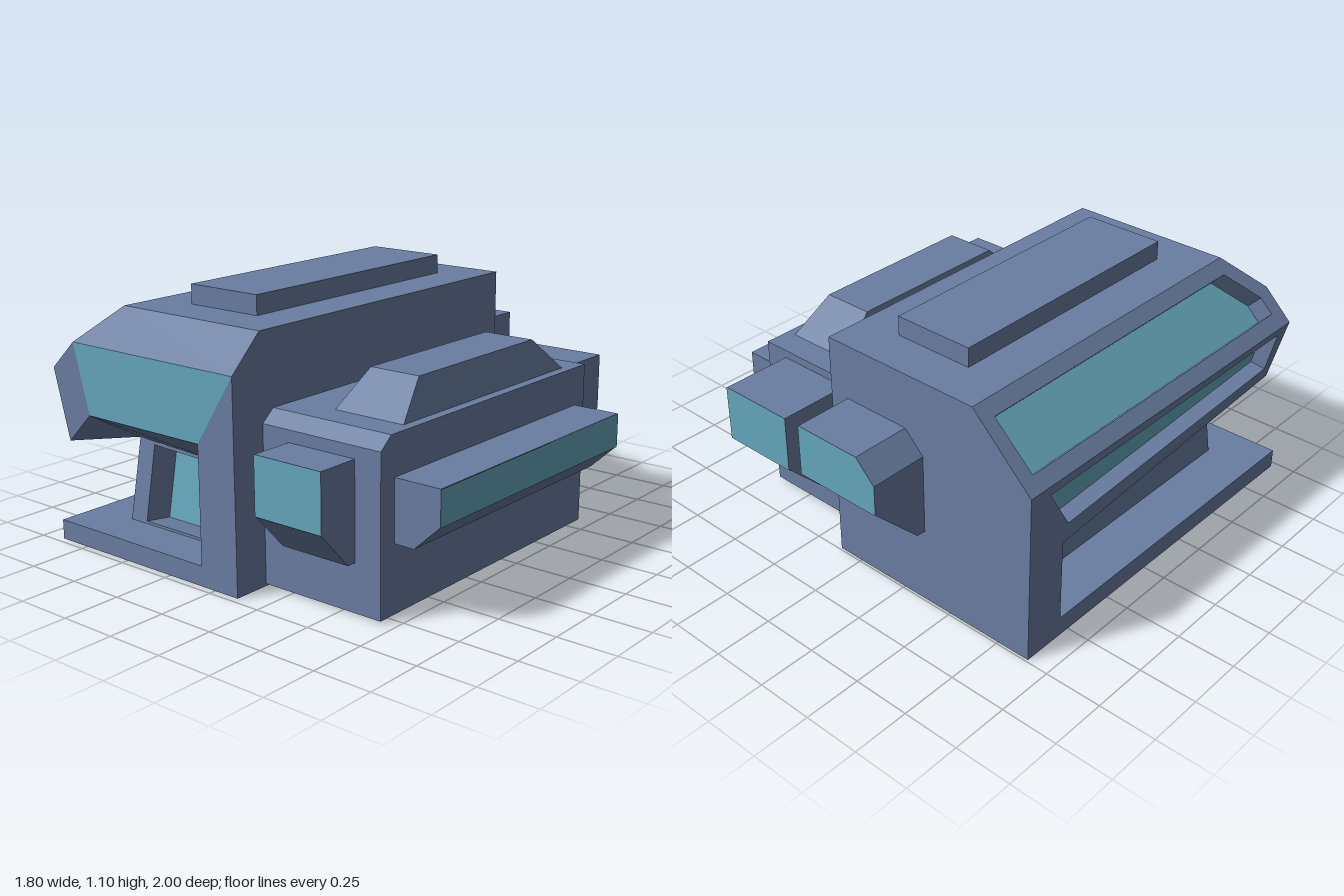
import * as THREE from 'three';
import { mergeGeometries } from 'three/addons/utils/BufferGeometryUtils.js';
import { ConvexGeometry } from 'three/addons/geometries/ConvexGeometry.js';

const V = (x, y, z) => new THREE.Vector3(x, y, z);

// Normal of a loop that runs counter-clockwise seen from outside
function loopNormal(loop) {
  const n = V(0, 0, 0);
  loop.forEach((p, i) => n.add(p.clone().cross(loop[(i + 1) % loop.length])));
  return n.normalize();
}

// Flat-shaded polygon with optional holes
function poly(loop, holes = []) {
  const n = loopNormal(loop);
  const u = Math.abs(n.y) > 0.8 ? V(0, 0, 1) : V(0, 1, 0);
  u.cross(n).normalize();
  const v = n.clone().cross(u);
  const flat = (l) => l.map((p) => new THREE.Vector2(p.dot(u), p.dot(v)));
  const all = [loop, ...holes].flat();
  const corners = [];
  for (const [a, b, c] of THREE.ShapeUtils.triangulateShape(flat(loop), holes.map(flat))) {
    const [A, B, C] = [all[a], all[b], all[c]];
    const turn = B.clone().sub(A).cross(C.clone().sub(A)).dot(n);
    corners.push(...(turn < 0 ? [A, C, B] : [A, B, C]));
  }
  const g = new THREE.BufferGeometry().setFromPoints(corners);
  g.computeVertexNormals();
  return g;
}

// Panel with a sunken window; the opening is given as fractions (along, down)
function windowPanel([tl, bl, br, tr], opening, depth) {
  const loop = opening.map(([s, t]) => tl.clone().lerp(tr, s).lerp(bl.clone().lerp(br, s), t));
  const n = loopNormal(loop);
  const floor = loop.map((p) => p.clone().addScaledVector(n, -depth));
  const walls = loop.map((p, i) => {
    const j = (i + 1) % loop.length;
    return poly([p, loop[j], floor[j], floor[i]]);
  });
  return { frame: [poly([tl, bl, br, tr], [loop]), ...walls], pane: poly(floor) };
}

const rectOpening = (s0, s1, t0, t1) => [[s0, t0], [s0, t1], [s1, t1], [s1, t0]];

export function createModel() {
  const group = new THREE.Group();
  const wall = new THREE.MeshStandardMaterial({ name: 'slate blue wall', color: 0x6a7ea2 });
  const glass = new THREE.MeshStandardMaterial({ name: 'teal glass', color: 0x66a8bd });
  const add = (name, geometry, material = wall, parent = group) => {
    const m = new THREE.Mesh(geometry, material);
    m.name = name;
    parent.add(m);
    return m;
  };

  // Main hall: each row runs from the back of the left side, round the front corner, to the right
  const roof = [V(-0.62, 1.02, -0.74), V(-0.62, 1.02, 0.82), V(0.12, 1.02, 0.82)];
  const eave = [V(-0.9, 0.75, -0.74), V(-0.9, 0.75, 0.97), V(-0.77, 0.875, 0.97), V(0.12, 0.875, 0.97)];
  const lip = [V(-0.9, 0.45, -0.55), V(-0.82, 0.45, 0.97), V(-0.69, 0.58, 0.97), V(-0.07, 0.58, 0.97)];
  const wallTop = [V(-0.66, 0.44, -0.5), V(-0.66, 0.44, 0.73), V(-0.16, 0.42, 0.73)];
  const wallBase = [V(-0.68, 0.085, -0.5), V(-0.68, 0.085, 0.78), V(-0.16, 0.085, 0.78)];
  const slab = [V(-0.9, 0.085, -0.55), V(-0.9, 0.085, 0.97), V(-0.07, 0.085, 0.97)];
  const ground = [V(-0.9, 0, -0.74), V(-0.9, 0, 0.97), V(0.12, 0, 0.97)];
  // a row with a single corner point uses it for both sides
  const rows = [roof, eave, lip, wallTop, wallBase, slab, ground]
    .map((r) => (r.length === 3 ? [r[0], r[1], r[1], r[2]] : r));
  const panel = (r, s) => [rows[r][s], rows[r + 1][s], rows[r + 1][s + 1], rows[r][s + 1]];

  // Sunken windows: left roof slope, under the left eave, and in the porch
  const windows = {
    roofWindow: [0, 0, [[0.04, 0.18], [0.04, 0.82], [0.974, 0.82], [0.993, 0.607], [0.958, 0.18]], 0.085],
    eaveWindow: [1, 0, rectOpening(0.05, 0.96, 0.13, 0.76), 0.07],
    porchWindow: [3, 2, rectOpening(0.175, 0.97, 0.04, 0.97), 0.13],
  };
  const shell = [];
  const special = new Set(['1,2']);
  for (const [name, [r, s, opening, depth]] of Object.entries(windows)) {
    const { frame, pane } = windowPanel(panel(r, s), opening, depth);
    shell.push(...frame);
    add(name, pane, glass);
    special.add(`${r},${s}`);
  }
  add('frontWindow', poly(panel(1, 2)), glass);

  // Plain panels between neighbouring rows
  for (let r = 0; r < rows.length - 1; r++) {
    for (let s = 0; s < 3; s++) {
      const loop = [...new Set(panel(r, s))];
      if (loop.length > 2 && !special.has(`${r},${s}`)) shell.push(poly(loop));
    }
  }
  // Pillar face and porch jamb at both ends
  for (const s of [0, 3]) {
    for (const ids of [[1, 2, 5, 6], [2, 3, 4, 5]]) {
      const loop = ids.map((r) => rows[r][s]);
      shell.push(poly(s === 0 ? loop.reverse() : loop));
    }
  }
  // Roof, right side, back and underside
  const backTop = V(0.12, 1.02, -0.74), backBase = V(0.12, 0, -0.74);
  shell.push(
    poly([...roof, backTop]),
    poly([ground[2], backBase, backTop, roof[2], eave[3]]),
    poly([backBase, ground[0], eave[0], roof[0], backTop]),
    poly([ground[0], backBase, ground[2], ground[1]]),
  );
  add('mainHall', mergeGeometries(shell));

  const platform = add('roofPlatform', new THREE.BoxGeometry(0.36, 0.09, 1.18));
  platform.position.set(-0.25, 1.058, 0.04);

  // Side wing with a small bevel along its front roof edge
  const wingSide = [[0.01, -0.58], [0.01, 0.81], [0.66, 0.81], [0.71, 0.75], [0.71, -0.58]];
  add('sideWing', new ConvexGeometry([0.11, 0.69].flatMap((x) => wingSide.map(([y, z]) => V(x, y, z)))));

  // Tapered roof lantern on the wing
  const lanternEnds = [[0.32, 0.65, 0.705, -0.47, 0.63], [0.37, 0.6, 0.855, -0.3, 0.47]];
  add('roofLantern', new ConvexGeometry(lanternEnds.flatMap(([x0, x1, y, z0, z1]) =>
    [V(x0, y, z0), V(x1, y, z0), V(x1, y, z1), V(x0, y, z1)])));

  // Bay window built facing +z, then turned: glazed face, sloped underside, optional cut top corner
  function bay(name, turn, { x: [x0, x1], y: [y0, y1], z: [inner, outer], sill: [sillY, sillZ], cut = 0 }) {
    const face = [[x0, y0], [x1, y0], [x1, y1 - cut], [x1 - cut, y1], [x0, y1]];
    const pts = face.flatMap(([x, y]) => [V(x, y, inner), V(x, y, outer)]);
    for (const x of [x0, x1]) pts.push(V(x, sillY, inner), V(x, sillY, sillZ));
    const part = new THREE.Group();
    part.name = name;
    add(name + 'Body', new ConvexGeometry(pts), wall, part);
    const outline = new THREE.Shape(face.map(([x, y]) => new THREE.Vector2(x, y)));
    add(name + 'Glass', new THREE.ShapeGeometry(outline).translate(0, 0, outer + 0.003), glass, part);
    part.rotation.y = turn;
    group.add(part);
  }
  bay('frontBay', 0, { x: [0.25, 0.57], y: [0.37, 0.61], z: [0.8, 0.997], sill: [0.21, 0.85] });
  bay('sideBay', Math.PI / 2, { x: [-0.73, 0.51], y: [0.4, 0.545], z: [0.68, 0.897], sill: [0.29, 0.78] });
  bay('wingBackBay', Math.PI, { x: [-0.58, -0.23], y: [0.43, 0.675], z: [0.57, 0.897], sill: [0.2, 0.67] });
  bay('hallBackBay', Math.PI, { x: [-0.03, 0.37], y: [0.56, 0.78], z: [0.73, 0.997], sill: [0.34, 0.78], cut: 0.09 });

  return group;
}
